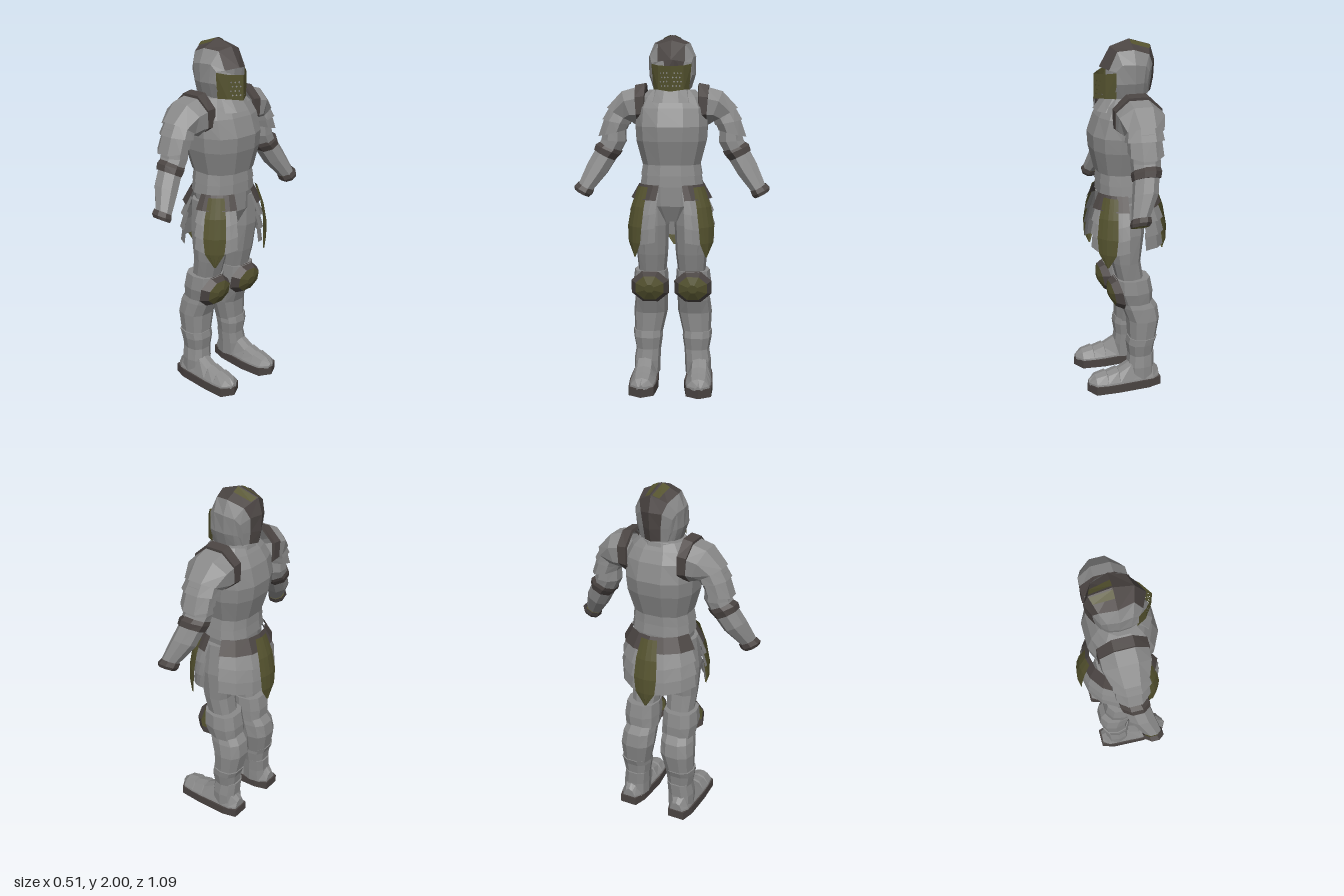
import * as THREE from 'three';

const mat = (name, color) => new THREE.MeshStandardMaterial({ name, color, flatShading: true, side: THREE.DoubleSide });

// Skin between rows of [x, y, z] points; faces turn away from a reference point
function skin(rows, { closed = true, caps = '', ref } = {}) {
  const pos = [], all = rows.flat();
  const mean = pts => [0, 1, 2].map(k => pts.reduce((t, p) => t + p[k], 0) / pts.length);
  const tris = [];
  for (let i = 0; i < rows.length - 1; i++) {
    const a = rows[i], b = rows[i + 1], n = a.length;
    for (let j = 0; j < (closed ? n : n - 1); j++) {
      const k = (j + 1) % n;
      tris.push([a[j], b[j], b[k]], [a[j], b[k], a[k]]);
    }
  }
  const cap = (row, flip) => {
    const c = mean(row);
    row.forEach((p, j) => {
      const q = row[(j + 1) % row.length];
      tris.push(flip ? [c, q, p] : [c, p, q]);
    });
  };
  if (caps.includes('a')) cap(rows[0], true);
  if (caps.includes('b')) cap(rows[rows.length - 1], false);
  // Cap winding above is matched to the side walls
  const c = new THREE.Vector3(...(ref || mean(all)));
  let out = 0;
  for (const t of tris) {
    const [p, q, r] = t.map(v => new THREE.Vector3(...v).sub(c));
    out += p.dot(q.cross(r));
  }
  for (const t of tris) (out < 0 ? [t[0], t[2], t[1]] : t).forEach(v => pos.push(...v));
  const g = new THREE.BufferGeometry();
  g.setAttribute('position', new THREE.Float32BufferAttribute(pos, 3));
  g.computeVertexNormals();
  return g;
}

// Level, slightly squared ring between x0..x1 and z0..z1
function ring([y, x0, x1, z0, z1], s = 1, n = 12) {
  return Array.from({ length: n }, (_, i) => {
    const a = ((i + 0.5) / n) * Math.PI * 2, f = v => Math.sign(v) * Math.abs(v) ** 0.8;
    return [(x0 + x1) / 2 + f(Math.cos(a)) * (x1 - x0) / 2, y, s * ((z0 + z1) / 2 + f(Math.sin(a)) * (z1 - z0) / 2)];
  });
}
// Arm ring through an outer and an inner [z, y] point, with x centre and half width
function armRing([zo, yo, zi, yi, x, w], s) {
  return Array.from({ length: 8 }, (_, i) => {
    const a = ((i + 0.5) / 8) * Math.PI * 2, c = Math.cos(a) * 1.08, d = Math.sin(a) * 1.08;
    return [x + d * w, (yo + yi) / 2 + c * (yo - yi) / 2, s * ((zo + zi) / 2 + c * (zo - zi) / 2)];
  });
}

export function createModel() {
  const model = new THREE.Group();
  model.name = 'armouredKnight';
  const steel = mat('steel', 0x8a8a8a), dark = mat('dark leather', 0x4a4442), olive = mat('olive trim', 0x55532f);
  const add = (name, geo, material) => {
    const m = new THREE.Mesh(geo, material);
    m.name = name;
    model.add(m);
    return m;
  };

  // Torso: breastplate, collar, waist bands and pelvis
  const body = (name, list, caps = 'ab') => add(name, skin(list.map(([y, a, b, z]) => ring([y, a, b, -z, z])), { caps }), steel);
  body('breastplate', [[1.29, -0.15, 0.15, 0.165], [1.42, -0.19, 0.18, 0.2], [1.5, -0.2, 0.185, 0.205], [1.6, -0.175, 0.15, 0.2], [1.66, -0.14, 0.115, 0.17], [1.7, -0.11, 0.08, 0.13]]);
  body('upperWaistBand', [[1.23, -0.14, 0.145, 0.175], [1.31, -0.135, 0.135, 0.16]]);
  body('lowerWaistBand', [[1.17, -0.145, 0.145, 0.18], [1.24, -0.135, 0.14, 0.168]]);
  body('pelvis', [[0.97, -0.07, 0.09, 0.08], [1.06, -0.13, 0.13, 0.16], [1.18, -0.13, 0.13, 0.17]]);
  body('collar', [[1.63, -0.14, 0.155, 0.13], [1.7, -0.12, 0.1, 0.11]], '');
  body('neck', [[1.6, -0.1, 0.05, 0.08], [1.8, -0.1, 0.03, 0.07]]);

  for (const s of [1, -1]) {
    const side = s > 0 ? 'right' : 'left';
    // Helmet: columns run from brow over the crown to the nape
    const at = ([x, y, z]) => [x, y, s * z];
    const ridge = [[0.125, 1.86, 0], [0.065, 1.965, 0], [-0.04, 2, 0], [-0.16, 1.965, 0], [-0.185, 1.88, 0], [-0.18, 1.79, 0], [-0.165, 1.72, 0]].map(at);
    const edge = [[0.09, 1.85, 0.075], [0.045, 1.945, 0.075], [-0.04, 1.955, 0.1], [-0.13, 1.925, 0.08], [-0.155, 1.87, 0.06], [-0.15, 1.79, 0.05], [-0.14, 1.72, 0.045]].map(at);
    const temple = [[0.06, 1.845, 0.11], [0.03, 1.88, 0.12], [-0.04, 1.88, 0.132], [-0.1, 1.87, 0.12], [-0.125, 1.84, 0.105], [-0.13, 1.79, 0.085], [-0.125, 1.72, 0.07]].map(at);
    const cheek = [[0.06, 1.78, 0.115], [0.02, 1.78, 0.125], [-0.04, 1.78, 0.13], [-0.09, 1.78, 0.118], [-0.11, 1.775, 0.1], [-0.12, 1.76, 0.09], [-0.122, 1.715, 0.075]].map(at);
    const jaw = [[0.065, 1.7, 0.085], [0.02, 1.7, 0.1], [-0.04, 1.71, 0.108], [-0.09, 1.715, 0.1], [-0.105, 1.72, 0.09], [-0.115, 1.72, 0.08], [-0.122, 1.712, 0.075]].map(at);
    const ref = [-0.03, 1.82, 0];
    add(side + 'HelmetCrest', skin([ridge, edge], { closed: false, ref }), dark);
    add(side + 'HelmetShell', skin([edge, temple, cheek, jaw], { closed: false, ref }), steel);
    const inset = (i, t) => ridge[i].map((v, k) => v + (edge[i][k] - v) * t + (k === 1 ? 0.004 : 0));
    add(side + 'CrownStripe', skin([[0.12, 0.5], [0.12, 0.5]].map((_, r) => [2, 3].map(i => inset(i, r ? 0.5 : 0.1))), { closed: false, ref }), olive);

    // Visor: a pierced front panel and a plain side panel
    const panel = new THREE.Shape([[0, 1.69], [0.085, 1.7], [0.085, 1.83], [0, 1.825]].map(p => new THREE.Vector2(...p)));
    for (let r = 0; r < 4; r++) for (let c = 0; c < 3; c++) {
      const h = new THREE.Path();
      h.absarc(0.016 + c * 0.022 + (r % 2) * 0.008, 1.72 + r * 0.023, 0.0055, 0, Math.PI * 2, true);
      panel.holes.push(h);
    }
    const front = new THREE.ShapeGeometry(panel, 2), p = front.attributes.position;
    for (let i = 0; i < p.count; i++) p.setXYZ(i, 0.155 - p.getX(i) * 0.55, p.getY(i), s * p.getX(i) * 0.82);
    if (s > 0) front.setIndex([...front.index.array].reverse());
    front.computeVertexNormals();
    add(side + 'VisorFront', front, olive);
    add(side + 'VisorSide', skin([[[0.108, 1.7, s * 0.07], [0.108, 1.83, s * 0.07]], [[0.058, 1.7, s * 0.098], [0.058, 1.84, s * 0.11]]], { closed: false, ref }), olive);

    // Arm: shoulder rim, three overlapping plates, elbow, forearm and cuff
    const arm = (name, list, m, caps = '') => add(side + name, skin(list.map(r => armRing(r, s)), { caps }), m);
    arm('ShoulderRim', [[0.145, 1.72, 0.15, 1.5, -0.035, 0.115], [0.15, 1.735, 0.15, 1.49, -0.035, 0.13], [0.205, 1.725, 0.19, 1.5, -0.035, 0.13], [0.205, 1.7, 0.19, 1.52, -0.035, 0.11]], dark);
    arm('ShoulderPlate', [[0.19, 1.715, 0.18, 1.5, -0.035, 0.125], [0.28, 1.69, 0.21, 1.51, -0.035, 0.125], [0.365, 1.6, 0.225, 1.52, -0.035, 0.1]], steel);
    arm('UpperArmPlate', [[0.34, 1.62, 0.23, 1.53, -0.035, 0.09], [0.39, 1.535, 0.24, 1.505, -0.03, 0.1]], steel, 'b');
    arm('LowerArmPlate', [[0.37, 1.57, 0.24, 1.52, -0.03, 0.085], [0.415, 1.44, 0.26, 1.475, -0.03, 0.09]], steel, 'b');
    arm('Elbow', [[0.385, 1.48, 0.265, 1.48, -0.03, 0.07], [0.4, 1.42, 0.262, 1.41, -0.03, 0.075], [0.42, 1.38, 0.3, 1.34, -0.025, 0.07]], steel);
    arm('ElbowBand', [[0.405, 1.41, 0.285, 1.355, -0.03, 0.07], [0.43, 1.395, 0.297, 1.335, -0.025, 0.077], [0.44, 1.365, 0.325, 1.305, -0.02, 0.072]], dark, 'b');
    arm('Forearm', [[0.43, 1.37, 0.32, 1.31, -0.02, 0.065], [0.475, 1.29, 0.37, 1.23, 0.0, 0.065], [0.52, 1.18, 0.445, 1.14, 0.045, 0.045]], steel);
    arm('WristCuff', [[0.525, 1.185, 0.44, 1.14, 0.04, 0.048], [0.545, 1.165, 0.45, 1.115, 0.047, 0.053], [0.542, 1.145, 0.465, 1.103, 0.052, 0.046]], dark);
    arm('HandOpening', [[0.542, 1.145, 0.465, 1.103, 0.052, 0.046], [0.535, 1.148, 0.47, 1.113, 0.051, 0.036]], olive, 'b');

    // Leg plates from hip to ankle
    const leg = (name, list) => add(side + name, skin(list.map(r => ring(r, s, 10)), { caps: 'ab' }), steel);
    leg('Thigh', [[0.66, -0.09, 0.06, 0.035, 0.19], [0.78, -0.07, 0.09, 0.022, 0.2], [0.95, -0.09, 0.12, 0.015, 0.21], [1.13, -0.1, 0.12, 0.02, 0.19]]);
    leg('KneePlate', [[0.53, -0.14, 0.05, 0.02, 0.215], [0.6, -0.14, 0.08, 0.02, 0.225], [0.68, -0.125, 0.08, 0.025, 0.215]]);
    leg('Calf', [[0.29, -0.155, 0, 0.06, 0.222], [0.42, -0.18, 0.005, 0.03, 0.228], [0.5, -0.17, 0.035, 0.028, 0.218], [0.56, -0.13, 0.05, 0.03, 0.2]]);
    leg('AnkleUpper', [[0.2, -0.14, 0.002, 0.068, 0.215], [0.27, -0.15, 0.012, 0.058, 0.228], [0.31, -0.165, 0.005, 0.06, 0.23]]);
    leg('AnkleLower', [[0.05, -0.15, 0.01, 0.075, 0.225], [0.13, -0.145, 0.01, 0.072, 0.225], [0.21, -0.15, 0, 0.068, 0.212]]);

    // Knee cap: faceted dome
    const dome = (k, x) => Array.from({ length: 8 }, (_, i) => {
      const a = ((i + 0.5) / 8) * Math.PI * 2, dy = Math.sin(a) * 0.1 * k;
      return [x + dy * 0.2, 0.59 + dy, s * (0.122 + Math.cos(a) * 0.115 * k)];
    });
    add(side + 'KneeCapRim', skin([dome(1, 0.05), dome(0.75, 0.095)], { ref: [0, 0.59, s * 0.122] }), dark);
    add(side + 'KneeCap', skin([dome(0.75, 0.095), dome(0.25, 0.115)], { caps: 'b', ref: [0, 0.59, s * 0.122] }), olive);

    // Foot: sole and plated upper
    const outline = [[-0.178, 0.11], [-0.178, 0.21], [-0.1, 0.232], [0.08, 0.238], [0.215, 0.232], [0.255, 0.16], [0.215, 0.09], [0.08, 0.075], [-0.1, 0.085]];
    add(side + 'Sole', skin([0, 0.05].map(y => outline.map(([x, z]) => [x, y, s * z])), { caps: 'ab' }), dark);
    const foot = [[-0.17, 0.1, 0.04], [-0.13, 0.14, 0.065], [0, 0.155, 0.07], [0.07, 0.115, 0.074], [0.075, 0.125, 0.074], [0.14, 0.105, 0.074], [0.145, 0.115, 0.074], [0.21, 0.1, 0.066], [0.247, 0.07, 0.02]];
    add(side + 'FootArmour', skin(foot.map(([x, h, w]) => [[-1, 0.045], [-0.95, 0.06], [-0.55, h - 0.01], [0, h], [0.55, h - 0.01], [0.95, 0.06], [1, 0.045]].map(([u, y]) => [x, y, s * (0.158 + u * w)])), { caps: 'ab' }), steel);
  }

  // Hip skirt: belt, three flared tiers and a ridged centre plate
  const curve = [[0.75, 0.235], [0.85, 0.25], [0.97, 0.25], [1.08, 0.225], [1.2, 0.178]];
  const radius = y => {
    const i = Math.min(3, Math.max(0, curve.findIndex(c => c[0] > y) - 1));
    const [a, b] = [curve[i], curve[i + 1]];
    return a[1] + (b[1] - a[1]) * (y - a[0]) / (b[0] - a[0]);
  };
  const polar = (deg, y, extra, sx, s) => {
    const r = radius(y) + extra, a = THREE.MathUtils.degToRad(deg);
    return [r * Math.cos(a) * sx, y, r * Math.sin(a) * s];
  };
  function skirt(name, mid, half, width, sx, s) {
    const tier = (label, top, bottom, m, out) => add(name + label, skin([[top, out - 0.006], [bottom, out + 0.008]].map(([y, e]) =>
      Array.from({ length: 7 }, (_, i) => {
        const t = i / 3 - 1;
        return polar(mid + t * half, y + (m === dark ? 0 : 0.03 * Math.abs(t) - 0.02), e, sx, s);
      })), { closed: false, ref: [0, 1, 0] }), m);
    tier('Belt', 1.18, 1.1, dark, 0.004);
    tier('UpperTier', 1.13, 1.02, steel, -0.006);
    tier('MiddleTier', 1.04, 0.94, steel, -0.012);
    tier('LowerTier', 0.96, 0.86, steel, -0.016);
    const plate = [[1.17, 0.9], [1.06, 1], [0.95, 1], [0.86, 0.85], [0.78, 0.1]];
    add(name + 'CentrePlate', skin(plate.map(([y, k]) => [-1, -0.5, 0, 0.5, 1].map(u =>
      polar(mid + u * width * k, y, 0.012 + 0.006 * (1 - Math.abs(u)), sx, s))), { closed: false, ref: [0, 1, 0] }), olive);
  }
  skirt('rightFrontSkirt', 52, 32, 15, 0.88, 1);
  skirt('leftFrontSkirt', 52, 32, 15, 0.88, -1);
  skirt('backSkirt', 180, 72, 15, 0.97, 1);

  // Rest on the ground, centred and scaled to a height of 2
  const box = new THREE.Box3().setFromObject(model), c = box.getCenter(new THREE.Vector3());
  model.position.set(0, -box.min.y, -c.z);
  return model;
}
